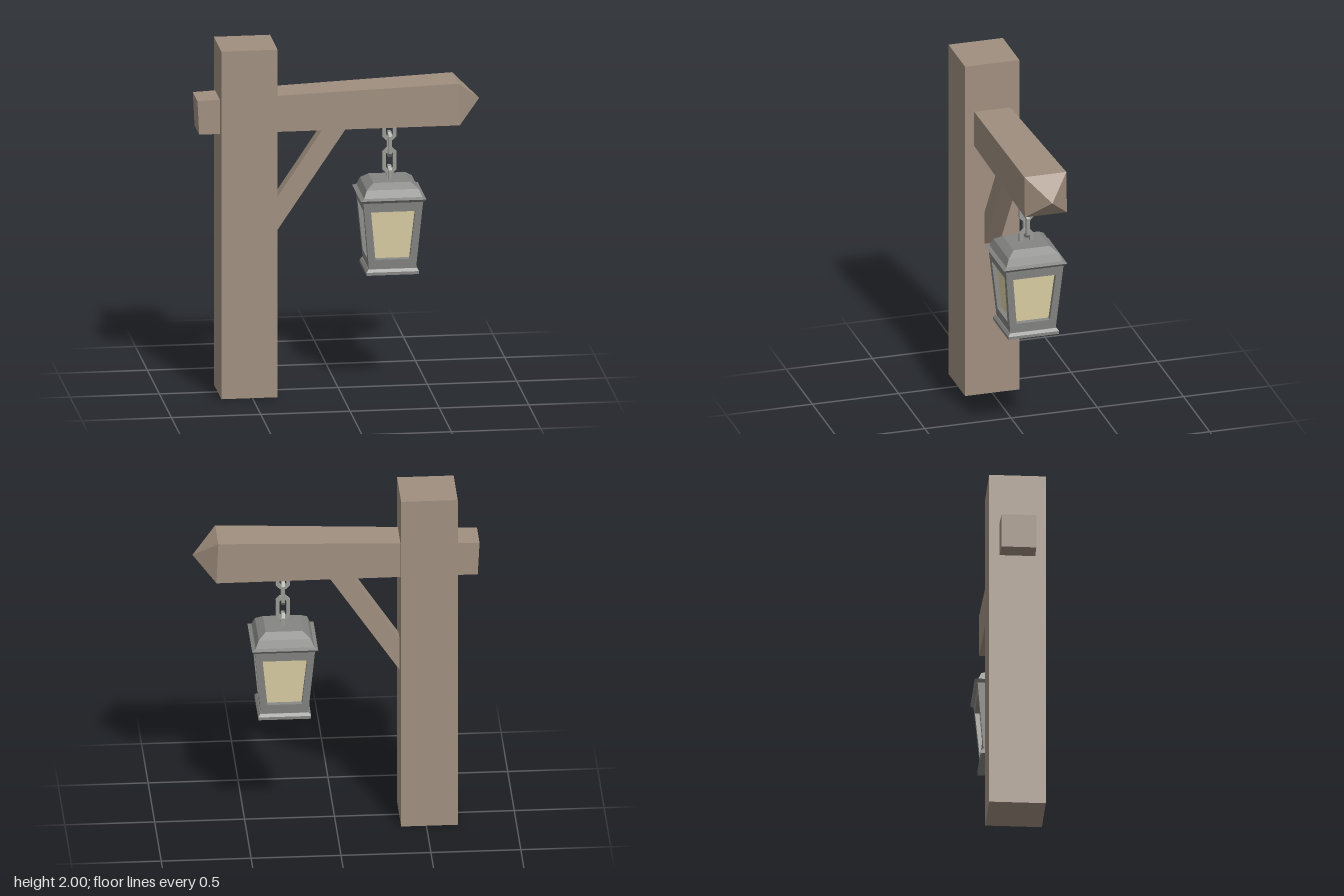
import * as THREE from 'three';

const mat = (color) => new THREE.MeshStandardMaterial({ color, flatShading: true, side: THREE.DoubleSide });
const wood = mat(0xa08f7f), metal = mat(0x858583), chainMetal = mat(0x9a9a96), glass = mat(0xdfd2a6);

function add(parent, name, geometry, material) {
  const mesh = new THREE.Mesh(geometry, material);
  mesh.name = name;
  parent.add(mesh);
  return mesh;
}

// Geometry from a list of quads, each with four corners counter-clockwise
function quads(list) {
  const pos = [];
  for (const [a, b, c, d] of list) pos.push(...a, ...b, ...c, ...a, ...c, ...d);
  const g = new THREE.BufferGeometry();
  g.setAttribute('position', new THREE.Float32BufferAttribute(pos, 3));
  g.computeVertexNormals();
  return g;
}

// Quads joining two four-cornered loops
const band = (a, b) => a.map((p, i) => [p, a[(i + 1) % 4], b[(i + 1) % 4], b[i]]);

// Square turned solid: [half width, y] profile, bottom to top
const squareLathe = (profile) => new THREE.LatheGeometry(
  profile.map(([h, y]) => new THREE.Vector2(h * Math.SQRT2, y)), 4, Math.PI / 4);

const toShape = (pts) => new THREE.Shape(pts.map(([x, y]) => new THREE.Vector2(x, y)));

function plate(shape, depth) {
  const g = new THREE.ExtrudeGeometry(shape, { depth, bevelEnabled: false });
  return g.translate(0, 0, -depth / 2);
}

// Tapered beam with a pyramid point
function beamGeometry() {
  const loop = (xTop, xBot, top, bot, h) =>
    [[xBot, bot, h], [xBot, bot, -h], [xTop, top, -h], [xTop, top, h]];
  const back = loop(-0.8, -0.79, 1.703, 1.51, 0.097);
  const front = loop(0.655, 0.665, 1.757, 1.517, 0.122);
  const tip = Array(4).fill([0.79, 1.638, 0]);
  return quads([[back[3], back[2], back[1], back[0]], ...band(back, front), ...band(front, tip)]);
}

// One side of the lantern body, facing +z: frame, recess and pane
function addLanternSide(parent, angle) {
  const half = (y) => 0.131 + (y - 0.7) * 0.09;
  const corners = (y0, w0, y1, w1, inset) => {
    const z0 = half(y0) - inset, z1 = half(y1) - inset;
    return [[-w0, y0, z0], [w0, y0, z0], [w1, y1, z1], [-w1, y1, z1]];
  };
  const outer = corners(0.7, half(0.7), 1.105, half(1.105), 0);
  const rim = corners(0.764, 0.096, 1.045, 0.124, 0);
  const pane = corners(0.768, 0.096, 1.045, 0.124, 0.025);
  const side = new THREE.Group();
  side.name = 'lanternSide';
  side.rotation.y = angle;
  add(side, 'frame', quads([...band(outer, rim), ...band(rim, pane)]), metal);
  add(side, 'pane', quads([pane]), glass);
  parent.add(side);
}

// Octagonal chain link; an open link is a U shape
function linkGeometry(open) {
  const ring = (w, h, c) => [[w, c - h], [w, h - c], [w - c, h], [c - w, h],
    [-w, h - c], [-w, c - h], [c - w, -h], [w - c, -h]];
  if (open) {
    return plate(toShape([[0.04, 0], [0.04, -0.048], [0.018, -0.07], [-0.018, -0.07], [-0.04, -0.048],
      [-0.04, 0], [-0.019, 0], [-0.019, -0.04], [-0.01, -0.049], [0.01, -0.049], [0.019, -0.04], [0.019, 0]]), 0.02);
  }
  const shape = toShape(ring(0.04, 0.072, 0.022));
  shape.holes.push(toShape(ring(0.019, 0.051, 0.01)));
  return plate(shape, 0.02);
}

export function createModel() {
  const model = new THREE.Group();
  model.name = 'lanternPost';

  // Timber
  const post = add(model, 'post', new THREE.BoxGeometry(0.315, 2, 0.315), wood);
  post.position.set(-0.517, 1, 0);
  add(model, 'beam', beamGeometry(), wood);
  add(model, 'brace', plate(toShape([[-0.38, 0.88], [0.065, 1.54], [-0.066, 1.54], [-0.38, 1.07]]), 0.09), wood);

  // Lantern
  const lantern = new THREE.Group();
  lantern.name = 'lantern';
  lantern.position.x = 0.287;
  model.add(lantern);
  add(lantern, 'roof', squareLathe([[0, 1.098], [0.17, 1.098], [0.184, 1.114], [0.163, 1.124],
    [0.145, 1.167], [0.103, 1.198], [0, 1.2]]), metal);
  for (let i = 0; i < 4; i++) addLanternSide(lantern, i * Math.PI / 2);
  add(lantern, 'base', squareLathe([[0, 0.677], [0.147, 0.677], [0.147, 0.694], [0.135, 0.71], [0, 0.71]]), metal);

  // Chain, links alternating by a quarter turn
  const chain = new THREE.Group();
  chain.name = 'chain';
  lantern.add(chain);
  const links = [[1.485, true, 0], [1.393, false, 1], [1.298, false, 0], [1.2, true, 1]];
  links.forEach(([y, open, turn], i) => {
    const link = add(chain, 'chainLink', linkGeometry(open), chainMetal);
    link.position.y = y;
    link.rotation.y = turn * Math.PI / 2;
    if (i === 3) link.rotation.z = Math.PI;
  });
  return model;
}
